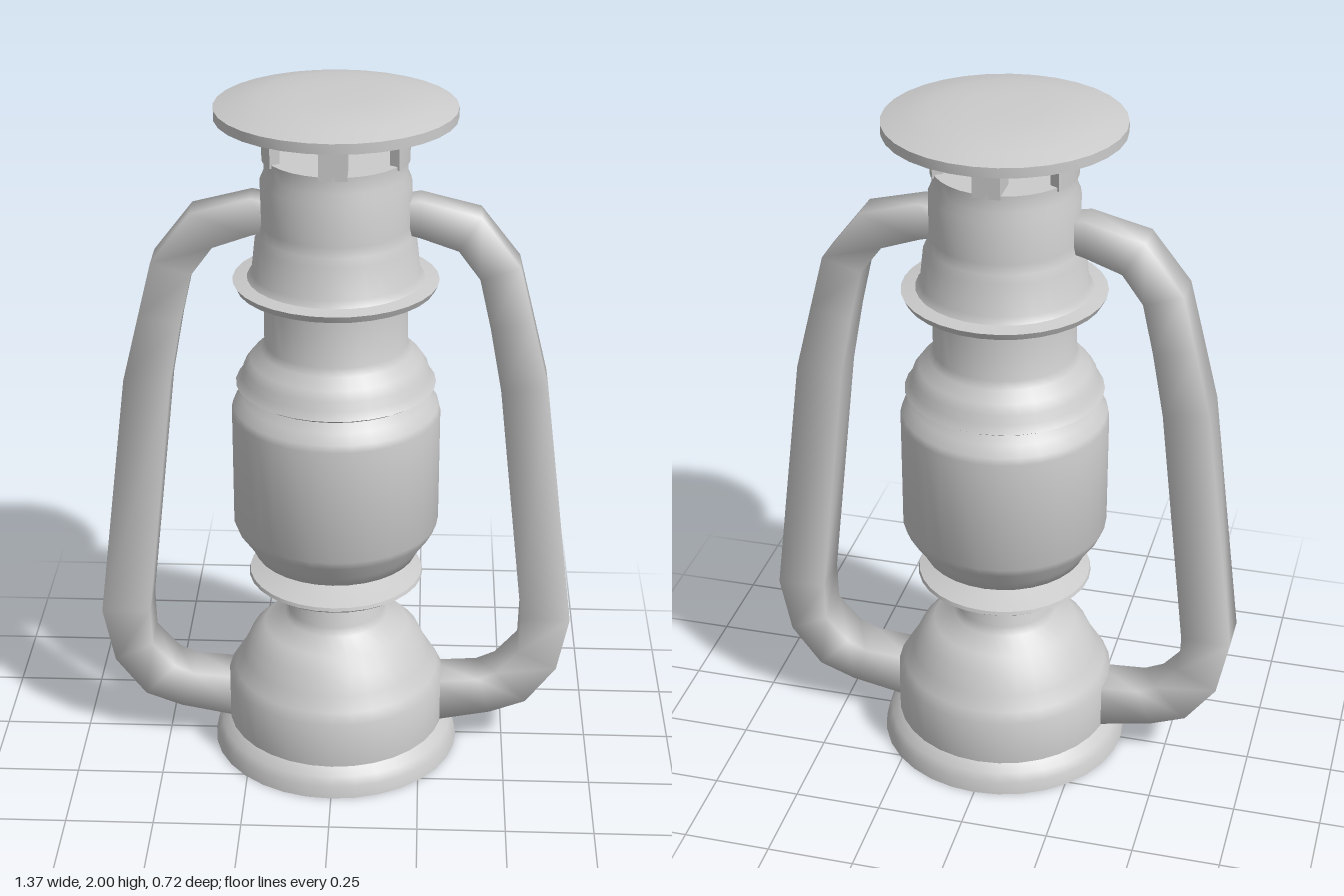
import * as THREE from 'three';
import { toCreasedNormals } from 'three/addons/utils/BufferGeometryUtils.js';

const material = new THREE.MeshStandardMaterial({ color: 0xcccccc });

function addMesh(parent, name, geometry) {
  const mesh = new THREE.Mesh(geometry, material);
  mesh.name = name;
  parent.add(mesh);
  return mesh;
}

// Turned part from [radius, height] pairs listed bottom to top
function turned(parent, name, profile) {
  const points = profile.map(([r, y]) => new THREE.Vector2(r, y));
  return addMesh(parent, name, toCreasedNormals(new THREE.LatheGeometry(points, 32), 0.75));
}

// Four-sided handle; each station is [outer x, outer y, inner x, inner y, half depth]
function handleGeometry(stations) {
  const positions = [];
  const index = [];
  for (const [ox, oy, ix, iy, w] of stations) {
    positions.push(ox, oy, w, ox, oy, -w, ix, iy, -w, ix, iy, w);
  }
  for (let i = 0; i < stations.length - 1; i++) {
    for (let j = 0; j < 4; j++) {
      const a = i * 4 + j, b = i * 4 + (j + 1) % 4;
      index.push(a, a + 4, b, b, a + 4, b + 4);
    }
  }
  const geometry = new THREE.BufferGeometry();
  geometry.setAttribute('position', new THREE.Float32BufferAttribute(positions, 3));
  geometry.setIndex(index);
  geometry.computeVertexNormals();
  return geometry;
}

// Curved upright: a slice of a ring, standing between two heights
function ringSlice(inner, outer, halfAngle, y0, y1) {
  const shape = new THREE.Shape();
  shape.absarc(0, 0, outer, -halfAngle, halfAngle, false);
  shape.absarc(0, 0, inner, halfAngle, -halfAngle, true);
  const geometry = new THREE.ExtrudeGeometry(shape, { depth: y1 - y0, bevelEnabled: false, curveSegments: 8 });
  return geometry.rotateX(-Math.PI / 2).translate(0, y0, 0);
}

export function createModel() {
  const lantern = new THREE.Group();
  lantern.name = 'lantern';

  // Fuel tank with a flared foot and domed shoulder
  turned(lantern, 'fuelTank', [
    [0, 0], [0.362, 0], [0.355, 0.035], [0.342, 0.06], [0.318, 0.08], [0.318, 0.22],
    [0.30, 0.25], [0.275, 0.29], [0.25, 0.345], [0.21, 0.385], [0.15, 0.415],
    [0.14, 0.44], [0.125, 0.515], [0.115, 0.54], [0, 0.54],
  ]);

  // Burner plate and throat
  turned(lantern, 'burnerPlate', [
    [0, 0.53], [0.16, 0.53], [0.235, 0.547], [0.253, 0.56], [0.25, 0.57],
    [0.2, 0.585], [0.145, 0.605], [0.14, 0.635], [0, 0.635],
  ]);

  // Glass globe
  turned(lantern, 'globe', [
    [0, 0.622], [0.21, 0.622], [0.235, 0.635], [0.25, 0.665], [0.285, 0.715], [0.295, 0.74],
    [0.295, 1.08], [0.29, 1.1], [0.265, 1.125], [0.245, 1.155], [0, 1.155],
  ]);

  // Globe collar and lower chimney
  turned(lantern, 'collar', [
    [0, 1.152], [0.23, 1.152], [0.265, 1.158], [0.281, 1.168], [0.265, 1.19],
    [0.258, 1.215], [0.24, 1.24], [0.212, 1.268], [0.2, 1.29], [0.2, 1.47], [0, 1.47],
  ]);

  // Upper chimney with its flange, ending at the vent floor
  turned(lantern, 'chimney', [
    [0, 1.432], [0.2, 1.432], [0.275, 1.455], [0.285, 1.475], [0.245, 1.482],
    [0.232, 1.5], [0.222, 1.59], [0.212, 1.612], [0.206, 1.64], [0.206, 1.76],
    [0.195, 1.785], [0.195, 1.83], [0, 1.83],
  ]);

  // Vent uprights: wide curved ones at the sides, narrow ones front and back
  for (const side of [1, -1]) {
    const wide = addMesh(lantern, 'sideVentPost', ringSlice(0.17, 0.2, 0.54, 1.82, 1.93));
    wide.rotation.y = side > 0 ? 0 : Math.PI;
    const narrow = addMesh(lantern, 'narrowVentPost', new THREE.BoxGeometry(0.076, 0.11, 0.085));
    narrow.position.set(0, 1.875, side * 0.152);
  }

  // Rain cap
  turned(lantern, 'cap', [
    [0, 1.915], [0.2, 1.915], [0.328, 1.938], [0.328, 1.966], [0.27, 1.982],
    [0.2, 1.996], [0.1, 2], [0, 2],
  ]);

  // Side handles running from chimney to tank
  const stations = [
    [0.17, 1.705, 0.17, 1.625, 0.042],
    [0.23, 1.715, 0.23, 1.61, 0.045],
    [0.395, 1.672, 0.335, 1.575, 0.05],
    [0.505, 1.53, 0.395, 1.495, 0.054],
    [0.545, 1.37, 0.428, 1.35, 0.057],
    [0.592, 1.18, 0.462, 1.165, 0.06],
    [0.685, 0.435, 0.543, 0.44, 0.062],
    [0.652, 0.27, 0.54, 0.325, 0.062],
    [0.565, 0.155, 0.475, 0.25, 0.062],
    [0.46, 0.115, 0.42, 0.225, 0.062],
    [0.27, 0.078, 0.27, 0.215, 0.062],
  ];
  const names = ['leftHandle', 'rightHandle'];
  names.forEach((name, i) => {
    const handle = addMesh(lantern, name, handleGeometry(stations));
    handle.rotation.y = i * Math.PI;
  });

  return lantern;
}
